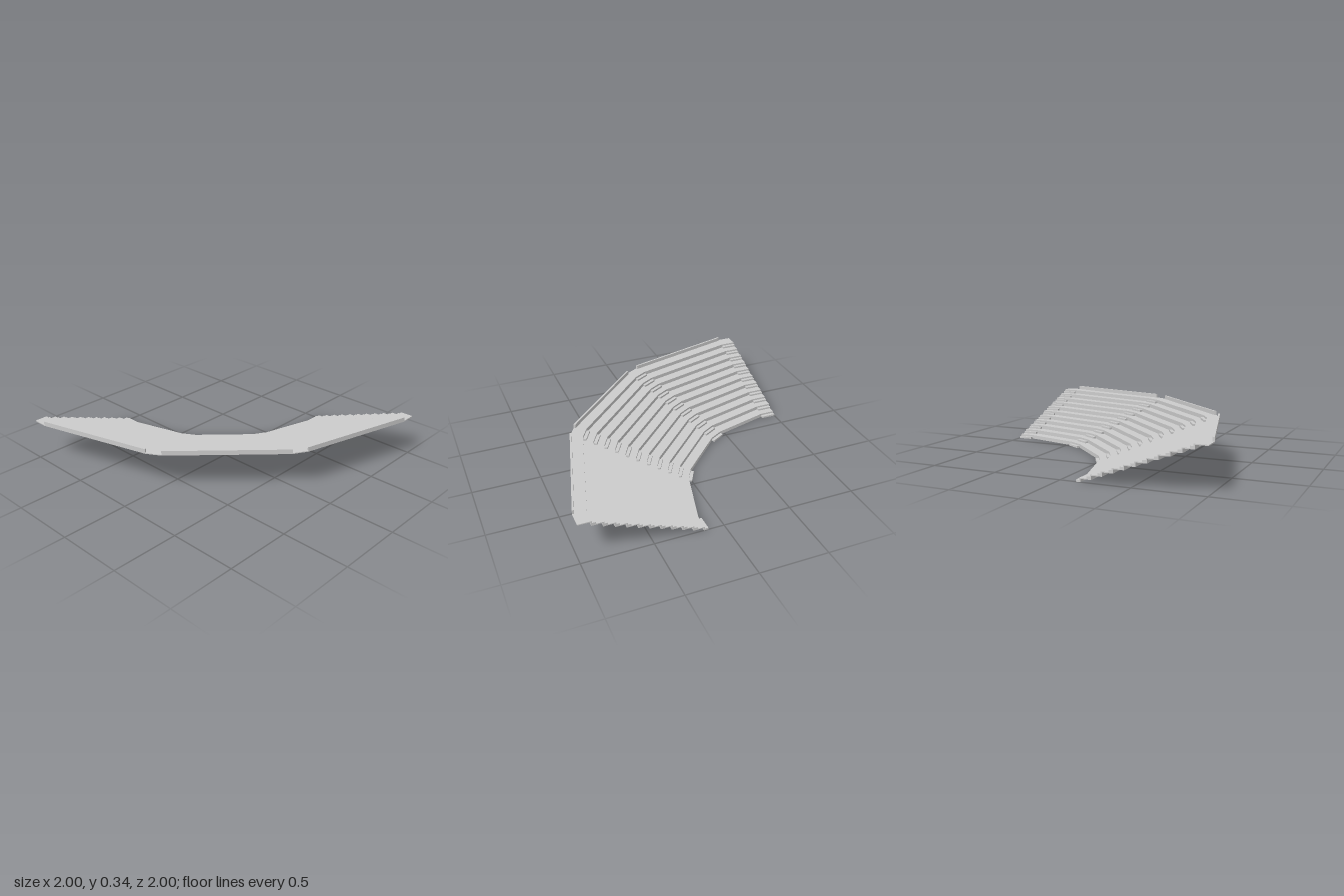
import * as THREE from 'three';

const ROWS = 11;
const RISE = 0.0285;    // height of one tier
const DEPTH = 0.0765;   // tread depth
const WALL = 0.008;     // riser thickness
const SLAB = 0.007;     // tread thickness
const OUTER = 0.86;     // total depth of the stand

// Plan stations: base point [x, z] on the innermost riser and outward angle.
// Aisles lie between stations 0-1, 2-3, 4-5 and 6-7; seating blocks in between.
const half = [
  [0.14, -1, 0], [0.14, -0.89, 0],
  [0.022, -0.46, 30], [-0.036, -0.36, 30],
];
const stations = [
  ...half,
  ...half.slice().reverse().map(([x, z, a]) => [z, x, 90 - a]),
];

function place(j, [d, y]) {
  const [x, z, deg] = stations[j];
  const a = THREE.MathUtils.degToRad(deg);
  return [x + d * Math.cos(a), y, z + d * Math.sin(a)];
}

// Sweep a strip-like section (front points, matching back points) along stations
function sweep(front, back, from, to) {
  const ring = [...front, ...back.slice().reverse()];
  const n = ring.length;
  const pos = [];
  const quad = (a, b, c, d) => pos.push(...a, ...b, ...c, ...a, ...c, ...d);
  for (let j = from; j < to; j++) {
    for (let i = 0; i < n; i++) {
      const p = ring[i], q = ring[(i + 1) % n];
      quad(place(j, p), place(j + 1, p), place(j + 1, q), place(j, q));
    }
  }
  // end caps
  for (let i = 0; i < front.length - 1; i++) {
    const c = [front[i], front[i + 1], back[i + 1], back[i]];
    quad(...c.map((p) => place(from, p)));
    quad(...c.slice().reverse().map((p) => place(to, p)));
  }
  const g = new THREE.BufferGeometry();
  g.setAttribute('position', new THREE.Float32BufferAttribute(pos, 3));
  g.computeVertexNormals();
  return g;
}

function block(d0, d1, y0, y1, from, to) {
  return sweep([[d0, y0], [d0, y1]], [[d1, y0], [d1, y1]], from, to);
}

export function createModel() {
  const group = new THREE.Group();
  const material = new THREE.MeshStandardMaterial({ color: 0xcccccc, flatShading: true });
  const add = (geometry, name, parent = group) => {
    const mesh = new THREE.Mesh(geometry, material);
    mesh.name = name;
    parent.add(mesh);
  };

  // Folded terrace slab: riser, tread, riser, tread...
  const front = [[0, 0]];
  const back = [[WALL, 0]];
  for (let k = 0; k < ROWS; k++) {
    const y = (k + 1) * RISE;
    const last = k === ROWS - 1;
    const next = (k + 1) * DEPTH;
    front.push([k * DEPTH, y], [last ? OUTER : next, y]);
    back.push([k * DEPTH + WALL, y - SLAB], [last ? OUTER : next + WALL, y - SLAB]);
  }
  add(sweep(front, back, 0, 7), 'terraces');

  // Low wall behind the top row of each seating block
  for (const j of [1, 3, 5]) {
    add(block(OUTER - 0.014, OUTER, ROWS * RISE, (ROWS + 1) * RISE, j, j + 1), 'rearWall');
  }

  // Half-height steps in the aisles
  for (const j of [0, 2, 4, 6]) {
    const aisle = new THREE.Group();
    aisle.name = 'aisleSteps';
    group.add(aisle);
    for (let k = 0; k < ROWS; k++) {
      const d = k * DEPTH, y = k * RISE;
      add(block(d - 0.024, d, y, y + RISE / 2, j, j + 1), 'aisleStep', aisle);
    }
  }
  return group;
}
